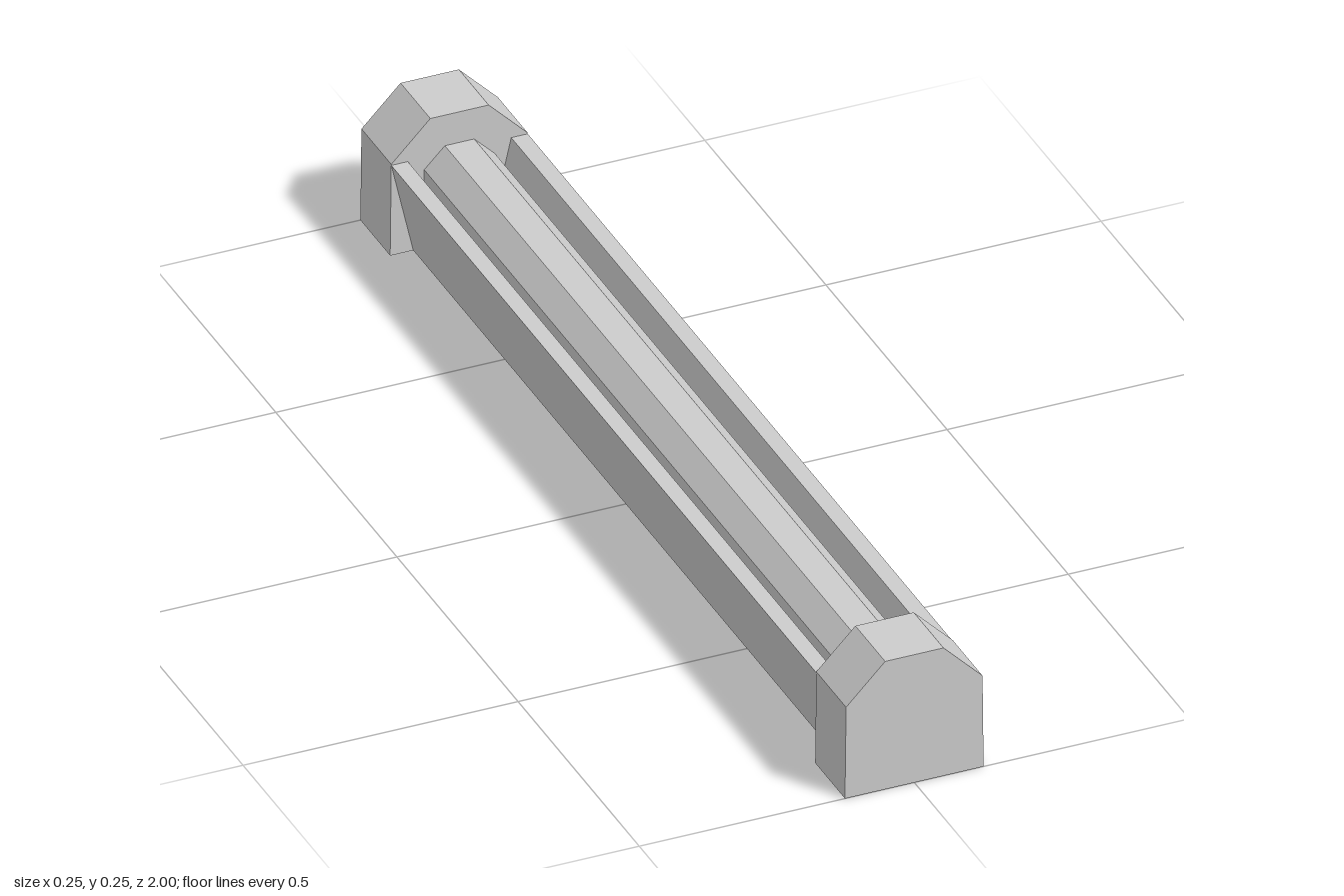
import * as THREE from 'three';

// Extrude an x/y outline along z, centred on z
function prism(name, points, length, z, material) {
  const shape = new THREE.Shape(points.map(([x, y]) => new THREE.Vector2(x, y)));
  const geometry = new THREE.ExtrudeGeometry(shape, { depth: length, bevelEnabled: false });
  geometry.translate(0, 0, z - length / 2);
  const mesh = new THREE.Mesh(geometry, material);
  mesh.name = name;
  return mesh;
}

// Complete a right-hand outline with its mirror image
const mirrored = (half) => [...half, ...half.map(([x, y]) => [-x, y]).reverse()];

export function createModel() {
  const group = new THREE.Group();
  group.name = 'tubeLight';
  const grey = new THREE.MeshStandardMaterial({ color: 0xcccccc, flatShading: true });
  grey.name = 'grey';

  const capLength = 0.123;
  const innerLength = 2 - 2 * capLength;

  // Chamfered end caps
  const cap = mirrored([[0.126, 0], [0.124, 0.178], [0.053, 0.25]]);
  for (const [name, side] of [['frontCap', 1], ['backCap', -1]]) {
    group.add(prism(name, cap, capLength, side * (1 - capLength / 2), grey));
  }

  // Open trough with walls that lean outwards
  const trough = mirrored([[0.084, 0], [0.124, 0.176], [0.094, 0.176], [0.061, 0.03]]);
  group.add(prism('trough', trough, innerLength, 0, grey));

  // Eight-sided tube lying in the trough, flat side up
  const tubeGeometry = new THREE.CylinderGeometry(0.0695, 0.0695, innerLength, 8, 1, true);
  tubeGeometry.rotateY(Math.PI / 8).rotateX(Math.PI / 2);
  const tube = new THREE.Mesh(tubeGeometry, grey);
  tube.name = 'tube';
  tube.position.y = 0.126;
  group.add(tube);

  return group;
}
